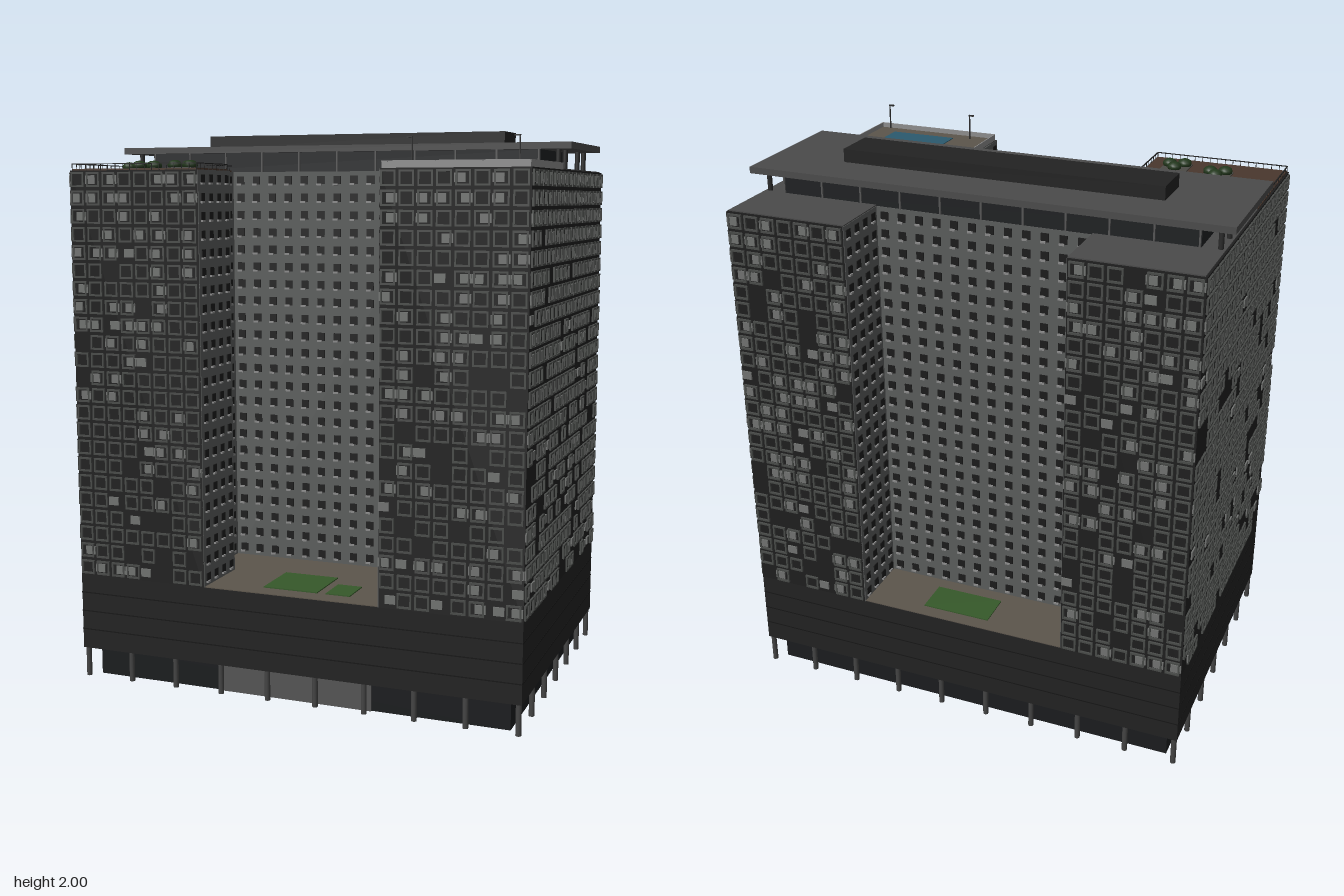
import * as THREE from 'three';
import { mergeGeometries } from 'three/addons/utils/BufferGeometryUtils.js';

const HW = 0.833, HD = 0.5775, BASE = 0.39, ROOF = 1.86;
const mats = {};
const mat = (c) => (mats[c] ??= new THREE.MeshStandardMaterial({ color: c, side: THREE.DoubleSide }));

// Small seeded generator for the irregular facade
let seed = 7;
const rnd = () => (seed = (seed * 16807) % 2147483647) / 2147483647;

export function createModel() {
  const root = new THREE.Group();
  root.name = 'hotelTower';
  const b = new THREE.Group();
  b.name = 'building';
  b.rotation.y = -0.087;
  b.position.x = -0.0075;
  root.add(b);

  const add = (name, geo, color) => {
    const m = new THREE.Mesh(geo, mat(color));
    m.name = name;
    b.add(m);
    return m;
  };
  const boxGeo = (x0, x1, y0, y1, z0, z1) => new THREE.BoxGeometry(x1 - x0, y1 - y0, z1 - z0)
    .translate((x0 + x1) / 2, (y0 + y1) / 2, (z0 + z1) / 2);
  const box = (name, color, ...e) => add(name, boxGeo(...e), color);
  const rect = (w, d) => [[-w, d], [w, d], [w, -d], [-w, -d]];
  const toPts = (pts) => pts.map(([x, z]) => new THREE.Vector2(x, -z));
  // Vertical prism over a plan outline, optionally with a hole
  const prism = (name, color, pts, y0, y1, hole) => {
    const s = new THREE.Shape(toPts(pts));
    if (hole) s.holes.push(new THREE.Path(toPts(hole)));
    const g = new THREE.ExtrudeGeometry(s, { depth: y1 - y0, bevelEnabled: false });
    return add(name, g.rotateX(-Math.PI / 2).translate(0, y0, 0), color);
  };
  const mirrorX = (pts) => pts.map(([x, z]) => [-x, z]);

  // Ground floor: recessed glazing, entrance and perimeter columns
  prism('groundGlazing', 0x1a1c1e, rect(0.785, 0.53), 0, 0.11, rect(0.765, 0.51));
  box('entrance', 0x555555, -0.29, 0.29, 0, 0.11, 0.53, 0.537);
  const cols = [];
  const column = (x, z) => cols.push(new THREE.CylinderGeometry(0.01, 0.01, 0.11, 10).translate(x, 0.055, z));
  for (let i = 0; i < 10; i++) for (const s of [-1, 1]) column(-0.82 + i * 0.1822, s * 0.564);
  for (let i = 1; i < 6; i++) for (const s of [-1, 1]) column(s * 0.82, -0.564 + i * 0.188);
  add('groundColumns', mergeGeometries(cols), 0x444444);

  // Podium ring and courtyard deck
  prism('podium', 0x222222, rect(HW, HD), 0.11, BASE, rect(0.7, 0.45));
  box('courtyardDeck', 0x5c554b, -0.45, 0.45, BASE - 0.01, BASE + 0.003, -0.575, 0.575);
  for (const y of [0.18, 0.25, 0.32]) prism('podiumJoint', 0x151515, rect(HW + 0.001, HD + 0.001), y, y + 0.004, rect(HW - 0.01, HD - 0.01));
  for (const [x, z, w, d] of [[-0.025, 0.409, 0.205, 0.2], [0.155, 0.448, 0.09, 0.12], [0.042, -0.46, 0.255, 0.13]])
    box('lawn', 0x36592a, x - w / 2, x + w / 2, BASE, BASE + 0.007, z - d / 2, z + d / 2);

  // H-shaped tower
  const outline = [[-HW, HD], [-0.329, HD], [-0.329, 0.33], [-0.42, 0.33], [-0.42, 0.11],
    [0.42, 0.11], [0.42, 0.33], [0.329, 0.33], [0.329, HD], [HW, HD],
    [HW, -HD], [0.39, -HD], [0.39, -0.34], [-0.39, -0.34], [-0.39, -HD], [-HW, -HD]];
  prism('towerBody', 0x1e1e1e, outline, BASE, ROOF);

  // One facade bay, drawn facing +z
  const frameGeo = (() => {
    const sq = (r) => [[-r, r], [r, r], [r, -r], [-r, -r]];
    const s = new THREE.Shape(toPts(sq(0.026)));
    s.holes.push(new THREE.Path(toPts(sq(0.0195))));
    return new THREE.ExtrudeGeometry(s, { depth: 0.007, bevelEnabled: false });
  })();
  const panelGeo = boxGeo(-0.019, 0.019, -0.015, 0.015, 0, 0.005);
  const windowGeo = boxGeo(-0.014, 0.014, -0.014, 0.016, 0, 0.005);
  const sillGeo = boxGeo(-0.015, 0.004, -0.018, -0.011, 0, 0.01);
  const rows = 23, rowH = (ROOF - BASE) / rows;
  const parts = { frame: [], panel: [], wall: [], window: [], sill: [] };
  outline.forEach(([x0, z0], i) => {
    const [x1, z1] = outline[(i + 1) % outline.length];
    const len = Math.hypot(x1 - x0, z1 - z0);
    const plain = (i >= 1 && i <= 7) || (i >= 11 && i <= 13);
    const place = (list, geo, u, y) => list.push(geo.clone().translate(u, y, 0)
      .rotateY(Math.atan2(z0 - z1, x1 - x0)).translate(x0, 0, z0));
    if (plain) place(parts.wall, boxGeo(0, len, BASE, ROOF, -0.002, 0.002), 0, 0);
    const n = Math.max(1, Math.round(len / 0.0635));
    for (let c = 0; c < n; c++) for (let r = 0; r < rows; r++) {
      const u = (c + 0.5) * len / n, y = BASE + (r + 0.5) * rowH;
      if (plain) {
        place(parts.window, windowGeo, u, y);
        place(parts.sill, sillGeo, u, y);
        continue;
      }
      const t = r / rows;
      if (rnd() < 0.72 + 0.28 * t) place(parts.frame, frameGeo, u, y);
      if (rnd() < 0.28 + 0.22 * t) place(parts.panel, panelGeo, u + (rnd() < 0.5 ? -0.012 : 0.012), y);
    }
  });
  const partColors = { frame: 0x484a48, panel: 0x707270, wall: 0x5a5c5b, window: 0x1a1a1a, sill: 0x8a8a8a };
  const partNames = { frame: 'windowFrames', panel: 'facadePanels', wall: 'recessWalls', window: 'recessWindows', sill: 'windowSills' };
  for (const k in parts) add(partNames[k], mergeGeometries(parts[k]), partColors[k]);

  // Wing roofs and front terraces
  for (const s of [-1, 1]) {
    const [a, c] = s < 0 ? [-HW + 0.006, -0.39] : [0.39, HW - 0.006];
    box('backWingRoof', 0x4a4a4a, a, c, ROOF, ROOF + 0.004, -0.572, 0.1);
  }
  const terrace = [[-0.827, 0.1], [-0.827, 0.572], [-0.335, 0.572], [-0.335, 0.336], [-0.426, 0.336], [-0.426, 0.1]];
  prism('gardenTerrace', 0x49372d, terrace, ROOF, ROOF + 0.006);
  prism('poolTerrace', 0x5c554b, mirrorX(terrace), ROOF, ROOF + 0.006);

  // Terrace railings: posts with a thin top rail
  const railing = (name, pts, color, lower) => {
    const g = [];
    for (let i = 0; i < pts.length - 1; i++) {
      const [x0, z0] = pts[i], [x1, z1] = pts[i + 1];
      const len = Math.hypot(x1 - x0, z1 - z0), n = Math.ceil(len / 0.03);
      const bars = [boxGeo(0, len, 0.021, 0.024, -0.002, 0.002)];
      if (lower) bars.push(boxGeo(0, len, 0, 0.021, -0.001, 0.001));
      for (let k = 0; k <= n; k++) bars.push(boxGeo(-0.001, 0.001, 0, 0.024, -0.001, 0.001).translate(k * len / n, 0, 0));
      for (const q of bars) g.push(q.rotateY(Math.atan2(z0 - z1, x1 - x0)).translate(x0, ROOF, z0));
    }
    add(name, mergeGeometries(g), color);
  };
  railing('gardenRailing', terrace, 0x222222, false);
  railing('poolRailing', mirrorX(terrace), 0x8c8c8c, true);

  // Garden planters with clipped shrubs
  for (const [x, z, w, d] of [[-0.744, 0.245, 0.1, 0.14], [-0.577, 0.196, 0.13, 0.1], [-0.603, 0.419, 0.1, 0.1], [-0.439, 0.46, 0.1, 0.1]]) {
    box('planter', 0x4c4a46, x - w / 2, x + w / 2, ROOF, ROOF + 0.01, z - d / 2, z + d / 2);
    for (const [dx, dz] of [[-0.025, 0.025], [0.028, 0.01], [0, -0.027]])
      add('shrub', new THREE.SphereGeometry(0.026, 12, 8).scale(1, 0.7, 1).translate(x + dx, ROOF + 0.018, z + dz), 0x22371c);
  }

  // Pool, loungers and lamp poles
  prism('pool', 0x2b5a6e, [[0.578, 0.213], [0.745, 0.213], [0.745, 0.512], [0.489, 0.512], [0.489, 0.394], [0.578, 0.394]], ROOF, ROOF + 0.009);
  const loungers = [];
  for (let i = 0; i < 7; i++) loungers.push(boxGeo(0.538, 0.572, 0, 0.008, 0, 0.014).translate(0, ROOF + 0.006, 0.22 + i * 0.024));
  for (let i = 0; i < 5; i++) loungers.push(boxGeo(0, 0.014, 0, 0.008, 0.15, 0.186).translate(0.435 + i * 0.022, ROOF + 0.006, 0));
  for (let i = 0; i < 2; i++) loungers.push(boxGeo(0, 0.014, 0, 0.008, 0.352, 0.386).translate(0.5 + i * 0.02, ROOF + 0.006, 0));
  add('loungers', mergeGeometries(loungers), 0x9a9a9a);
  for (const [x, z] of [[0.426, 0.535], [0.79, 0.566]]) {
    box('lampPole', 0x2a2a2a, x - 0.002, x + 0.002, ROOF, 1.96, z - 0.002, z + 0.002);
    box('lampHead', 0x2a2a2a, x - 0.018, x + 0.002, 1.956, 1.961, z - 0.004, z + 0.004);
  }

  // Rooftop lounge, canopy slab and plant room
  box('loungeGlazing', 0x1e2022, -0.75, 0.75, ROOF, 1.93, -0.338, 0.112);
  const posts = [];
  for (let i = 0; i <= 10; i++) for (const z of [-0.341, 0.115])
    posts.push(boxGeo(-0.003, 0.003, ROOF, 1.93, -0.003, 0.003).translate(-0.745 + i * 0.149, 0, z));
  add('loungeMullions', mergeGeometries(posts), 0x555555);
  for (const s of [-1, 1]) for (const z of [-0.33, -0.22, -0.01, 0.1])
    add('canopyColumn', new THREE.CylinderGeometry(0.009, 0.009, 0.07, 10).translate(s * 0.81, 1.895, z), 0x2a2a2a);
  box('canopySlab', 0x4a4a4a, -0.8635, 0.8635, 1.93, 1.953, -0.369, 0.143);
  box('plantRoom', 0x222222, -0.585, 0.585, 1.953, 2, -0.195, -0.035);

  return root;
}
